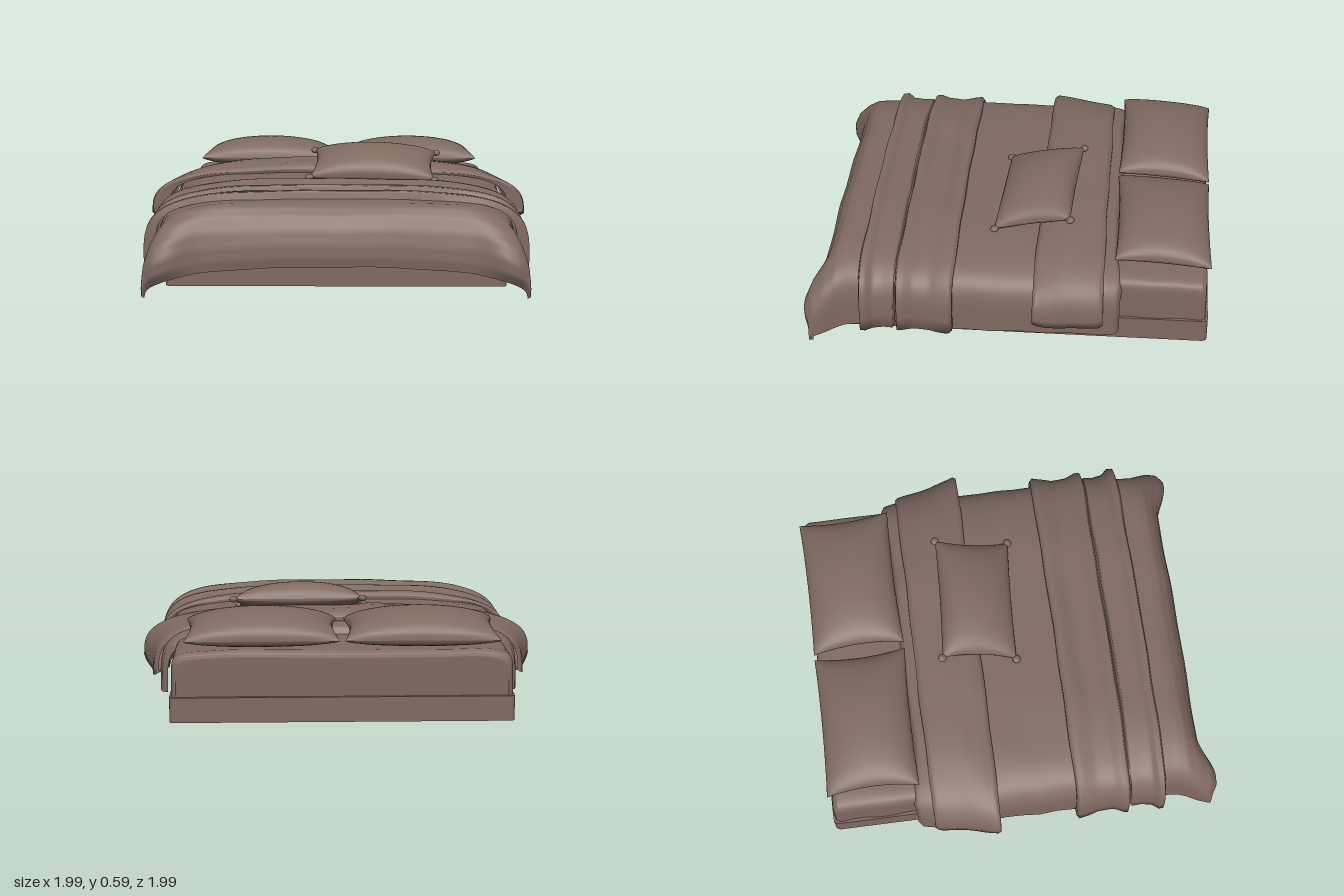
import * as THREE from 'three';

const fabric = new THREE.MeshStandardMaterial({ color: 0x7f6a61, side: THREE.DoubleSide });
fabric.name = 'taupe fabric';

function add(parent, name, geometry) {
  const mesh = new THREE.Mesh(geometry, fabric);
  mesh.name = name;
  parent.add(mesh);
  return mesh;
}

function roundedRect(Type, hw, z0, z1, r) {
  const s = new Type();
  s.moveTo(-hw + r, -z1);
  s.lineTo(hw - r, -z1).quadraticCurveTo(hw, -z1, hw, -z1 + r);
  s.lineTo(hw, -z0 - r).quadraticCurveTo(hw, -z0, hw - r, -z0);
  s.lineTo(-hw + r, -z0).quadraticCurveTo(-hw, -z0, -hw, -z0 - r);
  s.lineTo(-hw, -z1 + r).quadraticCurveTo(-hw, -z1, -hw + r, -z1);
  return s;
}

// Upright rounded rectangular frame, open above and below
function frame(hw, z0, z1, y0, y1, wall) {
  const shape = roundedRect(THREE.Shape, hw, z0, z1, 0.03);
  shape.holes.push(roundedRect(THREE.Path, hw - wall, z0 + wall, z1 - wall, 0.02));
  const g = new THREE.ExtrudeGeometry(shape, { depth: y1 - y0, bevelEnabled: false, curveSegments: 6 });
  return g.rotateX(-Math.PI / 2).translate(0, y0, 0);
}

// Cloth hung over the bed: sections of [z, half width, top, hem, power, corner push], along z.
// Each section is the upper half of a superellipse; inner tucks the hems back in.
function drape(sections, inner = 0) {
  const COLS = 96, STEPS = 4, rows = [];
  const { smoothstep } = THREE.MathUtils;
  sections.forEach((s, i) => {
    const next = sections[i + 1];
    if (!next) rows.push(s);
    else for (let k = 0; k < STEPS; k++) rows.push(s.map((v, c) => v + (next[c] - v) * k / STEPS));
  });
  const pos = [], index = [], cols = COLS + 1 + (inner ? 2 : 0);
  for (const [z, w, top, hem, power, push = 0] of rows) {
    if (inner) pos.push(inner, hem + 0.015, z);
    for (let j = 0; j <= COLS; j++) {
      const a = Math.PI * j / COLS, c = Math.cos(a);
      const u = Math.sign(c) * Math.abs(c) ** (2 / power);
      const v = Math.abs(Math.sin(a)) ** (2 / power);
      const ripple = 0.004 * Math.sin(u * 9 + z * 17) * Math.sin(u * 4 - z * 11 + 1);
      const side = 0.005 * (1 - v) * Math.sin(z * 24) * u;
      const e = Math.abs(u);
      const corner = push * (smoothstep(e, 0.68, 0.9) - 0.4 * smoothstep(e, 0.93, 1));
      pos.push(u * w + side, hem + (top - hem) * v + ripple * v, z + corner + ripple);
    }
    if (inner) pos.push(-inner, hem + 0.015, z);
  }
  for (let i = 0; i < rows.length - 1; i++) {
    for (let j = 0; j < cols - 1; j++) {
      const a = i * cols + j, b = a + cols;
      index.push(a, a + 1, b, a + 1, b + 1, b);
    }
  }
  const g = new THREE.BufferGeometry();
  g.setAttribute('position', new THREE.Float32BufferAttribute(pos, 3));
  g.setIndex(index);
  g.computeVertexNormals();
  return g;
}

// Stuffed cushion with pinched sides and a seam around the edge
function cushion(name, hx, hz, up, down) {
  const group = new THREE.Group();
  group.name = name;
  for (const sign of [1, -1]) {
    const g = new THREE.PlaneGeometry(2, 2, 28, 22).rotateX(-sign * Math.PI / 2);
    const p = g.attributes.position;
    for (let i = 0; i < p.count; i++) {
      const u = Math.sin(p.getX(i) * Math.PI / 2), v = Math.sin(p.getZ(i) * Math.PI / 2);
      const puff = Math.max(0, (1 - u * u) * (1 - v * v)) ** 0.4;
      p.setXYZ(i, hx * u * (1 - 0.07 * (1 - v * v)),
        sign * (sign > 0 ? up : down) * puff,
        hz * v * (1 - 0.04 * (1 - u * u)));
    }
    g.computeVertexNormals();
    add(group, sign > 0 ? name + 'Top' : name + 'Underside', g);
  }
  return group;
}

export function createModel() {
  const bed = new THREE.Group();
  bed.name = 'bed';

  // Hollow base, and the mattress shell that runs in under the duvet
  add(bed, 'base', frame(0.82, -0.99, 0.86, 0.04, 0.16, 0.025));
  add(bed, 'mattress', drape([
    [-0.97, 0.78, 0.152, 0.15, 12], [-0.977, 0.785, 0.345, 0.15, 12],
    [-0.972, 0.798, 0.365, 0.15, 12], [-0.95, 0.808, 0.38, 0.15, 12],
    [-0.7, 0.808, 0.383, 0.15, 12], [-0.48, 0.808, 0.383, 0.15, 12],
  ]));

  // Duvet, falling over the foot with drooping corners
  add(bed, 'duvet', drape([
    [-0.54, 0.85, 0.385, 0.1, 5, -0.03], [-0.52, 0.875, 0.42, 0.1, 5, -0.03],
    [-0.46, 0.885, 0.435, 0.1, 5, -0.02], [-0.1, 0.885, 0.435, 0.095, 5, 0],
    [0.25, 0.885, 0.437, 0.09, 5, 0], [0.72, 0.875, 0.44, 0.085, 5, 0],
    [0.8, 0.87, 0.437, 0.075, 5, 0], [0.84, 0.88, 0.425, 0.065, 5, 0.005],
    [0.88, 0.905, 0.385, 0.05, 4.6, 0.025], [0.912, 0.923, 0.32, 0.035, 4.2, 0.055],
    [0.928, 0.928, 0.25, 0.02, 3.6, 0.07], [0.932, 0.925, 0.19, 0.01, 3, 0.065],
    [0.925, 0.912, 0.146, 0.002, 2.5, 0.045],
  ]));

  // Top of the duvet folded back, flaring towards the foot
  add(bed, 'duvetFold', drape([
    [-0.475, 0.893, 0.438, 0.19, 3.4], [-0.475, 0.908, 0.46, 0.175, 3.2],
    [-0.455, 0.92, 0.478, 0.17, 3.2], [-0.38, 0.935, 0.488, 0.17, 3.2],
    [-0.28, 0.955, 0.492, 0.18, 3.2], [-0.2, 0.975, 0.485, 0.2, 3.2],
    [-0.155, 0.99, 0.472, 0.22, 3.2], [-0.138, 0.985, 0.455, 0.225, 3.2],
    [-0.142, 0.9, 0.436, 0.22, 4],
  ], 0.887));

  // Throw across the foot, in two overlapping folds
  add(bed, 'throwBackFold', drape([
    [0.255, 0.892, 0.436, 0.12, 5], [0.255, 0.925, 0.458, 0.11, 4],
    [0.27, 0.94, 0.472, 0.105, 4], [0.3, 0.93, 0.475, 0.1, 4],
    [0.37, 0.912, 0.452, 0.1, 4.3], [0.45, 0.918, 0.457, 0.105, 4.3],
    [0.5, 0.94, 0.478, 0.11, 4], [0.525, 0.94, 0.475, 0.11, 4],
    [0.535, 0.892, 0.438, 0.12, 5],
  ], 0.887));
  add(bed, 'throwFrontFold', drape([
    [0.54, 0.89, 0.438, 0.11, 5], [0.55, 0.905, 0.456, 0.1, 4.3],
    [0.6, 0.9, 0.455, 0.1, 4.3], [0.65, 0.915, 0.462, 0.1, 4],
    [0.685, 0.945, 0.48, 0.1, 4], [0.71, 0.945, 0.478, 0.1, 4],
    [0.72, 0.885, 0.438, 0.11, 5],
  ], 0.882));

  // Pair of sleeping pillows
  for (const side of [-1, 1]) {
    const pillow = cushion(side > 0 ? 'leftPillow' : 'rightPillow', 0.368, 0.235, 0.11, 0.058);
    pillow.position.set(side * 0.383, 0.443, -0.757);
    pillow.rotation.set(-0.07, side * 0.01, 0);
    bed.add(pillow);
  }

  // Small cushion leaning on the fold, knotted at the corners
  const accent = cushion('accentCushion', 0.325, 0.195, 0.104, 0.05);
  for (const x of [-1, 1]) {
    for (const z of [-1, 1]) {
      const knot = add(accent, 'cornerKnot', new THREE.SphereGeometry(0.02, 12, 8));
      knot.position.set(x * 0.326, 0, z * 0.195);
      knot.scale.set(1.1, 0.8, 1.1);
    }
  }
  accent.position.set(0.19, 0.483, -0.125);
  accent.rotation.set(0.23, -0.06, 0);
  bed.add(accent);

  return bed;
}
